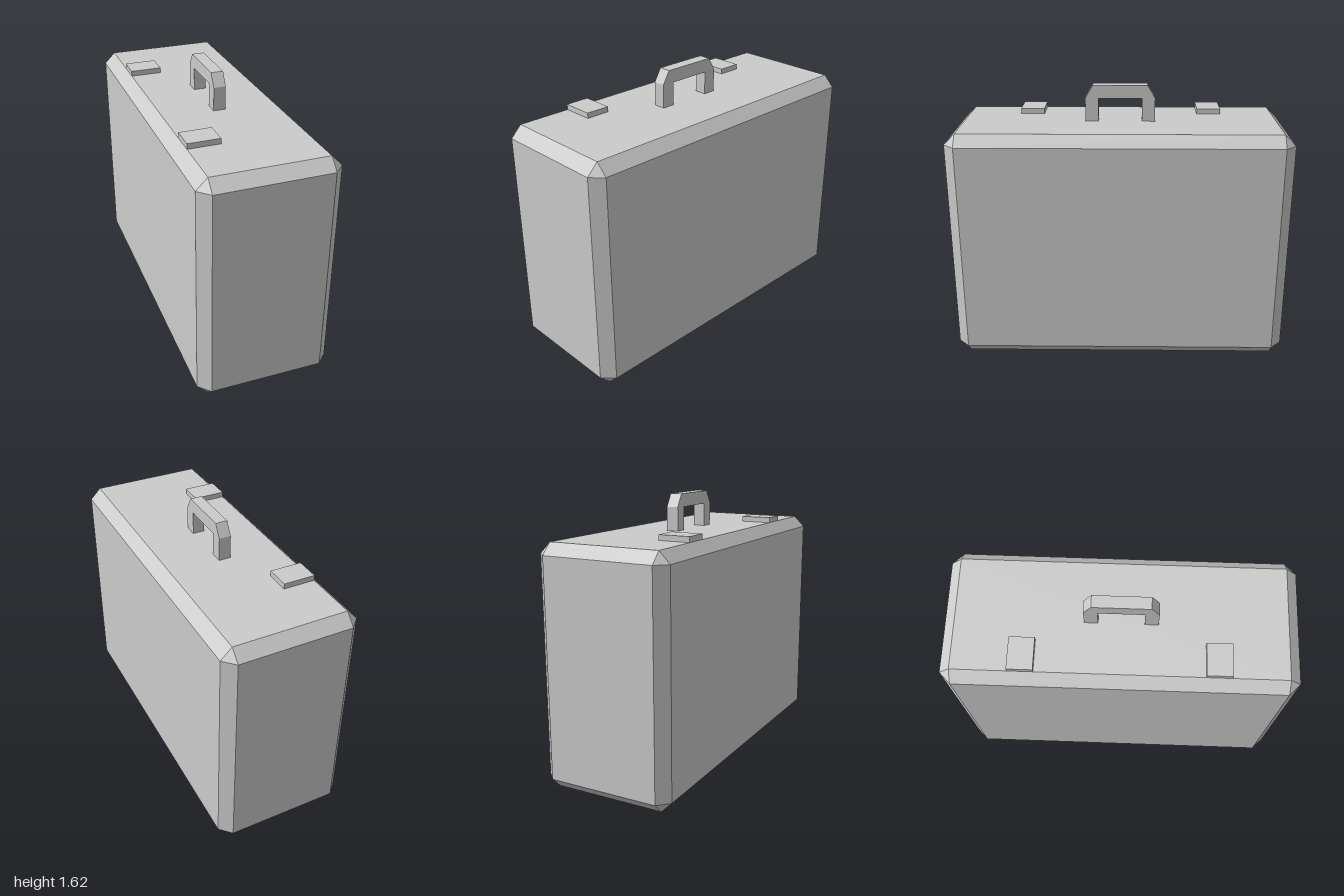
import * as THREE from 'three';
import { ConvexGeometry } from 'three/addons/geometries/ConvexGeometry.js';

const material = new THREE.MeshStandardMaterial({ color: 0xcccccc, flatShading: true });

function addPart(group, name, geometry, x, y, z) {
  const mesh = new THREE.Mesh(geometry, material);
  mesh.name = name;
  mesh.position.set(x, y, z);
  group.add(mesh);
  return mesh;
}

// Box with every edge cut at 45 degrees and triangular corners
function chamferedBox(width, height, depth, cut) {
  const points = [];
  for (const sx of [-1, 1]) for (const sy of [-1, 1]) for (const sz of [-1, 1]) {
    const [x, y, z] = [width / 2, height / 2, depth / 2];
    points.push(
      new THREE.Vector3(sx * x, sy * (y - cut), sz * (z - cut)),
      new THREE.Vector3(sx * (x - cut), sy * y, sz * (z - cut)),
      new THREE.Vector3(sx * (x - cut), sy * (y - cut), sz * z)
    );
  }
  return new ConvexGeometry(points);
}

// Upside-down U with cut outer corners, extruded to the handle's thickness
function handleGeometry(thickness) {
  const half = [[0.13, 0], [0.208, 0], [0.208, 0.14], [0.163, 0.215]];
  const mirrored = half.map(([x, y]) => [-x, y]).reverse();
  const outline = [[0.13, 0.137], ...half, ...mirrored, [-0.13, 0.137]];
  const shape = new THREE.Shape(outline.map(([x, y]) => new THREE.Vector2(x, y)));
  return new THREE.ExtrudeGeometry(shape, { depth: thickness, bevelEnabled: false })
    .translate(0, 0, -thickness / 2)
    .rotateY(Math.PI / 2);
}

export function createModel() {
  const model = new THREE.Group();
  model.name = 'suitcase';

  // Case body
  addPart(model, 'caseBody', chamferedBox(0.8, 1.4, 2, 0.065), 0, 0.7, 0);

  // Carrying handle
  addPart(model, 'handle', handleGeometry(0.072), 0, 1.4, 0);

  // Two flat latches along one edge of the top
  for (const side of [-1, 1]) {
    addPart(model, side > 0 ? 'frontLatch' : 'backLatch',
      new THREE.BoxGeometry(0.19, 0.04, 0.145), -0.24, 1.412, side * 0.545);
  }
  return model;
}
